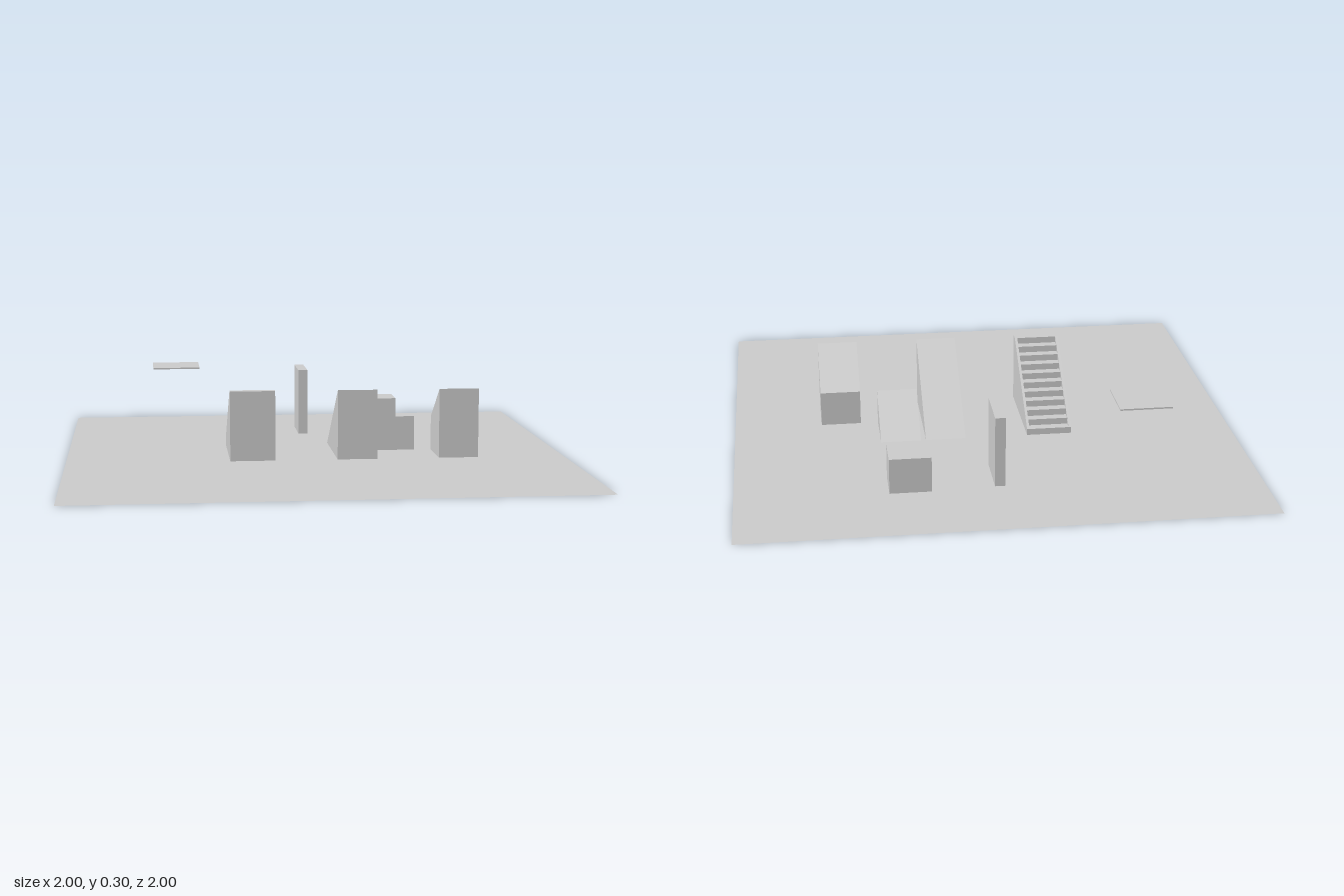
import * as THREE from 'three';

const material = new THREE.MeshStandardMaterial({ color: 0xcccccc, flatShading: true });

export function createModel() {
  const model = new THREE.Group();

  function add(name, geometry, parent = model, mat = material) {
    const mesh = new THREE.Mesh(geometry, mat);
    mesh.name = name;
    parent.add(mesh);
    return mesh;
  }

  // Box given by its lowest corner and its size
  function block(name, x, y, z, w, h, d) {
    add(name, new THREE.BoxGeometry(w, h, d)).position.set(x + w / 2, y + h / 2, z + d / 2);
  }

  // Side outline of [z, y] points, extruded along x from x0 to x1
  function prism(name, points, x0, x1, parent = model) {
    const shape = new THREE.Shape(points.map(([z, y]) => new THREE.Vector2(z, y)));
    const geometry = new THREE.ExtrudeGeometry(shape, { depth: x1 - x0, bevelEnabled: false });
    geometry.rotateY(-Math.PI / 2).translate(x1, 0, 0);
    add(name, geometry, parent);
  }

  // Ground sheet
  const groundMaterial = material.clone();
  groundMaterial.side = THREE.DoubleSide;
  add('ground', new THREE.PlaneGeometry(2, 2).rotateX(-Math.PI / 2), model, groundMaterial);

  // Floating floor tile, wall and half-height block
  block('floorTile', -0.65, 0.29, -0.66, 0.2, 0.006, 0.2);
  block('wall', -0.02, 0, -0.65, 0.04, 0.28, 0.2);
  block('halfBlock', 0.26, 0, -0.665, 0.16, 0.14, 0.14);

  // Full ramp, and the same slope split into a lower and an upper half
  const height = 0.28, half = height / 2;
  prism('fullRamp', [[-0.2, 0], [0.2, 0], [0.2, height]], 0.08, 0.24);
  prism('lowerRamp', [[-0.2, 0], [0, 0], [0, half]], 0.26, 0.42);
  prism('upperRamp', [[0, 0], [0.2, 0], [0.2, height], [0, half]], 0.49, 0.65);

  // Staircase: solid steps between two side panels that follow the nosings
  const stairs = new THREE.Group();
  stairs.name = 'staircase';
  model.add(stairs);
  const count = 11, run = 0.4 / count, rise = height / count;
  const steps = [[0.2, 0], [0.2, height]];
  for (let i = count - 1; i >= 0; i--) {
    const z = -0.2 + i * run;
    steps.push([z, (i + 1) * rise], [z, i * rise]);
  }
  prism('steps', steps, -0.34, -0.18, stairs);
  const panel = [[-0.2, 0], [0.2, 0], [0.2, height], [0.2 - run, height], [-0.2, rise]];
  for (const x of [-0.35, -0.18]) prism('sidePanel', panel, x, x + 0.01, stairs);

  return model;
}
